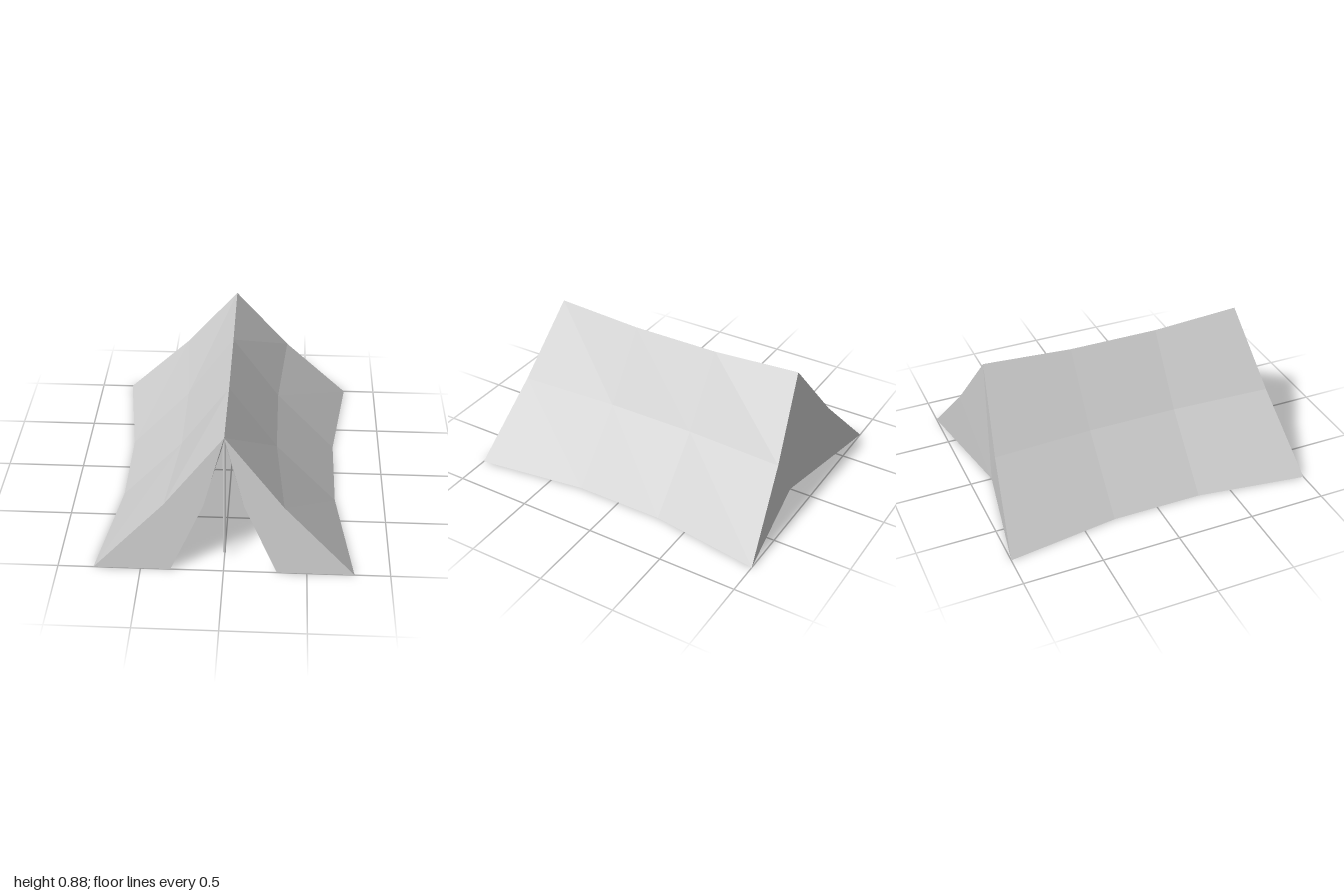
import * as THREE from 'three';

// Half tent (x >= 0). Each ring runs ridge, middle, hem; rings go front to back.
function shell(inner) {
  const t = inner ? 0.03 : 0;
  const end = (s) => [
    [0, 0.88 - t * 1.4, s * (0.86 - t)],
    [0.355 - t * 1.25, 0.44, s * (0.93 - t)],
    [0.785 - t * 1.5, 0, s * (1 - t)],
  ];
  const mid = (s) => [
    [0, 0.845 - t * 1.4, s * 0.29],
    [0.3 - t * 1.25, 0.42, s * 0.29],
    [0.685 - t * 1.4, 0, s * 0.29],
  ];
  const rings = [end(1), mid(1), mid(-1), end(-1)];
  const door = [rings[0][0], [0.12, 0.44, 0.93 - t], [0.32, 0, 1 - t]];
  const backFoot = [0, 0, -0.86 + t];
  return { rings, door, backFoot };
}

// Flat faces from polygons, each mirrored to the other side.
function mirroredFaces(polygons) {
  const pos = [];
  const fan = (p) => {
    for (let i = 1; i < p.length - 1; i++) pos.push(...p[0], ...p[i], ...p[i + 1]);
  };
  for (const p of polygons) {
    fan(p);
    fan(p.map(([x, y, z]) => [-x, y, z]).reverse());
  }
  const g = new THREE.BufferGeometry();
  g.setAttribute('position', new THREE.Float32BufferAttribute(pos, 3));
  g.computeVertexNormals();
  return g;
}

function roofFaces({ rings }) {
  const faces = [];
  for (let k = 0; k < 3; k++) {
    for (let j = 0; j < 2; j++) {
      faces.push([rings[k][j], rings[k][j + 1], rings[k + 1][j + 1], rings[k + 1][j]]);
    }
  }
  return faces;
}

function flapFaces({ rings: [f], door }) {
  return [[f[0], door[1], f[1]], [door[1], door[2], f[2], f[1]]];
}

function backFaces({ rings, backFoot }) {
  const b = rings[3];
  return [[b[0], b[1], backFoot], [b[1], b[2], backFoot]];
}

// Open border: back foot, along the hem, then up the door edge
function border({ rings, door, backFoot }) {
  return [backFoot, ...[3, 2, 1, 0].map((k) => rings[k][2]), door[2], door[1], door[0]];
}

export function createModel() {
  const group = new THREE.Group();
  const canvas = new THREE.MeshStandardMaterial({ color: 0xcccccc });
  canvas.name = 'light grey canvas';
  const add = (name, geometry) => {
    const mesh = new THREE.Mesh(geometry, canvas);
    mesh.name = name;
    group.add(mesh);
    return mesh;
  };

  const outer = shell(false);
  const inner = shell(true);
  const lined = (make) =>
    mirroredFaces([...make(outer), ...make(inner).map((p) => [...p].reverse())]);

  // Cloth panels, outside and inside
  add('roof', lined(roofFaces));
  add('frontFlaps', lined(flapFaces));
  add('backWall', lined(backFaces));

  // Thickness of the cloth at hem and door
  const o = border(outer);
  const n = border(inner);
  add('hem', mirroredFaces(o.slice(1).map((p, i) => [o[i], p, n[i + 1], n[i]])));

  // Front pole, leaning slightly back
  const foot = new THREE.Vector3(0, 0.03, 0.86);
  const top = new THREE.Vector3(0, 0.85, 0.835);
  const dir = top.clone().sub(foot);
  const poleGeometry = new THREE.CylinderGeometry(0.011, 0.011, dir.length(), 6).toNonIndexed();
  poleGeometry.computeVertexNormals();
  const pole = add('frontPole', poleGeometry);
  pole.position.copy(foot).add(top).multiplyScalar(0.5);
  pole.quaternion.setFromUnitVectors(new THREE.Vector3(0, 1, 0), dir.normalize());

  return group;
}
